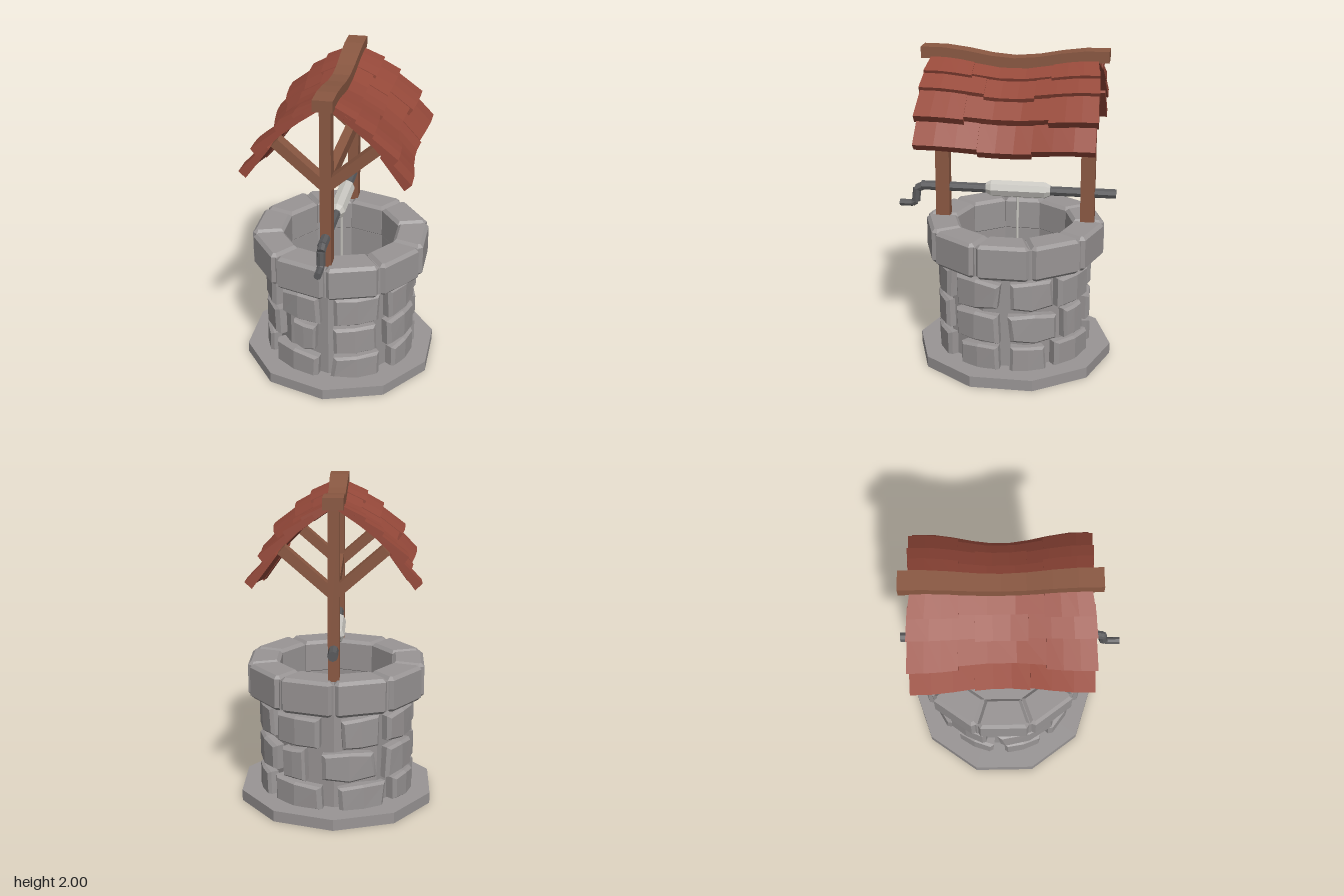
import * as THREE from 'three';

const mat = (name, color) => {
  const m = new THREE.MeshStandardMaterial({ color });
  m.name = name;
  return m;
};

export function createModel() {
  const model = new THREE.Group();
  model.name = 'well';
  model.position.z = -0.055; // the crank reaches further to the front
  const root = new THREE.Group();
  root.add(model);

  const stone = mat('stone grey', 0x999595);
  const wood = mat('brown wood', 0x8a5842);
  const tile = mat('red roof tile', 0x96493a);
  const iron = mat('dark iron', 0x5a5a5c);
  const cord = mat('pale rope', 0xcac8c2);

  let seed = 7;
  const jitter = (s) => {
    seed = (seed * 16807) % 2147483647;
    return (seed / 2147483647 - 0.5) * 2 * s;
  };

  // Faceted mesh
  const add = (name, geo, material, parent = model) => {
    const g = geo.index ? geo.toNonIndexed() : geo;
    g.computeVertexNormals();
    const mesh = new THREE.Mesh(g, material);
    mesh.name = name;
    parent.add(mesh);
    return mesh;
  };
  // Move every vertex of a geometry by a rule
  const warp = (geo, rule) => {
    const p = geo.attributes.position;
    for (let i = 0; i < p.count; i++) p.setXYZ(i, ...rule(p.getX(i), p.getY(i), p.getZ(i)));
    return geo;
  };
  const box = (name, w, h, d, x, y, z) => {
    const m = add(name, new THREE.BoxGeometry(w, h, d), wood);
    m.position.set(x, y, z);
    return m;
  };
  // Straight bar between two points in the x = 0 plane, given as [y, z]
  const rod = (name, a, b, r, sides, material) => {
    const p = new THREE.Vector3(0, ...a), q = new THREE.Vector3(0, ...b);
    const dir = q.clone().sub(p);
    const m = add(name, new THREE.CylinderGeometry(r, r, dir.length(), sides), material);
    m.position.copy(p).add(q).multiplyScalar(0.5);
    m.quaternion.setFromUnitVectors(new THREE.Vector3(0, 1, 0), dir.normalize());
    return m;
  };

  // Base slab
  add('baseSlab', new THREE.CylinderGeometry(0.625, 0.625, 0.07, 10), stone).position.y = 0.035;

  // Hollow shaft, with a backing ring behind the rim blocks
  const profile = [[0.44, 0.06], [0.44, 0.67], [0.47, 0.705], [0.55, 0.705], [0.55, 0.89],
    [0.385, 0.89], [0.375, 0.7], [0.375, 0.075], [0, 0.075]].map((p) => new THREE.Vector2(...p));
  add('shaft', new THREE.LatheGeometry(profile, 10), stone);

  // Rim of ten bevelled blocks
  const rim = new THREE.Group();
  rim.name = 'rim';
  model.add(rim);
  const bevel = 0.02, t = Math.tan(Math.PI / 10);
  const inner = 0.352 + bevel, outer = 0.547 - bevel;
  const wi = inner * t - bevel - 0.003, wo = outer * t - bevel - 0.003, c = 0.014;
  const block = new THREE.Shape([[-wi, inner], [wi, inner], [wo - c * 0.4, outer - c], [wo - c, outer],
    [-wo + c, outer], [-wo + c * 0.4, outer - c]].map((p) => new THREE.Vector2(...p)));
  for (let i = 0; i < 10; i++) {
    const geo = new THREE.ExtrudeGeometry(block, {
      depth: 0.22 - 2 * bevel, bevelEnabled: true, bevelSize: bevel, bevelThickness: bevel, bevelSegments: 1,
    });
    geo.rotateX(Math.PI / 2);
    geo.translate(0, 0.91 - bevel, 0);
    add('rimBlock', geo, stone, rim).rotation.y = (i + 0.5) * Math.PI / 5;
  }

  // Raised wall stones: [bottom, top, angle ranges in degrees from the front]
  const rows = [
    [0.06, 0.215, [[4, 42], [53, 86], [94, 122], [128, 171], [183, 220], [229, 262], [270, 302], [311, 353]]],
    [0.25, 0.43, [[4, 38], [48, 86], [94, 132], [138, 158], [170, 212], [222, 255], [266, 316], [332, 351]]],
    [0.465, 0.645, [[6, 41], [50, 86], [94, 127], [131, 170], [186, 214], [222, 258], [268, 309], [319, 354]]],
  ];
  const stones = new THREE.Group();
  stones.name = 'wallStones';
  model.add(stones);
  for (const [y0, y1, ranges] of rows) {
    for (const [a0, a1] of ranges) {
      const j = [0, 0, 0, 0].map(() => [jitter(0.04), jitter(0.016)]);
      const geo = warp(new THREE.BoxGeometry(1, 1, 1, 2, 1, 2), (u, v, w) => {
        const inset = w > 0.1 ? 0.84 : 1;
        const k = j[(u > 0 ? 1 : 0) + (v > 0 ? 2 : 0)];
        const side = u === 0 ? 0 : k[0];
        const a = THREE.MathUtils.degToRad((a0 + a1) / 2 + (a1 - a0) * (u * inset + side));
        const r = w < -0.1 ? 0.4 : w > 0.1 ? 0.49 : 0.472;
        const lift = u === 0 ? 0.006 * Math.sign(v) : k[1];
        const y = (y0 + y1) / 2 + (y1 - y0) * v * inset + lift;
        return [r * Math.sin(a), Math.max(y, 0.06), r * Math.cos(a)];
      });
      add('wallStone', geo, stone, stones);
    }
  }

  // Posts with braces, and the beam between them
  for (const z of [0.46, -0.46]) {
    box('post', 0.068, 1.05, 0.088, 0, 1.425, z);
    for (const s of [1, -1]) {
      box('brace', 0.4, 0.062, 0.08, s * 0.15, 1.555, z).rotation.z = s * 0.72;
    }
  }
  box('tieBeam', 0.06, 0.075, 0.9, 0, 1.445, 0);

  // Roof sag: deepest in the middle, gone towards both gables
  const sag = (x, y, z) => {
    const f = 0.03 * (1 + Math.cos(Math.PI * Math.min(1, Math.abs(z) / 0.47)));
    const k = x / 0.52;
    return [x - f * k * 0.9, y - f * (1 - 0.5 * Math.abs(k)), z];
  };

  // Ridge beam
  add('ridgeBeam', warp(new THREE.BoxGeometry(0.12, 0.07, 1.145, 1, 1, 8),
    (x, y, z) => sag(x, y + 1.963, z)), wood);

  // Shingle rows: [top x, y, lower edge x, y, half length above, below, split, middle shift]
  const courses = [
    [0.0, 1.968, 0.185, 1.88, 0.5, 0.53, 0.24, -0.02],
    [0.12, 1.895, 0.305, 1.79, 0.525, 0.54, 0.15, 0.02],
    [0.235, 1.81, 0.43, 1.66, 0.53, 0.545, 0.25, -0.025],
    [0.345, 1.68, 0.52, 1.495, 0.53, 0.535, 0.16, 0.015],
  ];
  for (const side of [0, 1]) {
    const slope = new THREE.Group();
    slope.name = side ? 'rightRoofSlope' : 'leftRoofSlope';
    slope.rotation.y = side * Math.PI;
    model.add(slope);
    for (const [x0, y0, x1, y1, h0, h1, split, shift] of courses) {
      const len = Math.hypot(x1 - x0, y1 - y0);
      const dx = (x1 - x0) / len, dy = (y1 - y0) / len;
      for (const part of [-1, 0, 1]) {
        const geo = warp(new THREE.BoxGeometry(1, 1, 1, 1, 1, 3), (u, v, w) => {
          const run = u < 0 ? 0 : len + (part === 0 ? Math.min(shift, 0) : Math.min(-shift, 0));
          const drop = (v < 0 ? (u < 0 ? 0.03 : 0.058) : 0) + (part === 0 ? 0.004 : 0);
          const half = u < 0 ? h0 : h1;
          const z = part === 0 ? w * 2 * split
            : part * (split + half) / 2 + w * (half - split);
          return sag(x0 + dx * run + dy * drop, y0 + dy * run - dx * drop, z);
        });
        add('shingle', geo, tile, slope);
      }
    }
  }

  // Axle and crank handle
  rod('axle', [1.095, -0.635], [1.095, 0.6], 0.031, 8, iron);
  const path = [[1.095, 0.585], [1.072, 0.632], [0.988, 0.641], [0.972, 0.665], [0.972, 0.745]];
  for (let i = 0; i < 4; i++) rod('crank', path[i], path[i + 1], i < 2 ? 0.027 : 0.023, 8, iron);

  // Rope wound on the axle, and its hanging end
  const coil = [[0, -0.21], [0.034, -0.21], [0.053, -0.175], [0.053, 0.165], [0.034, 0.2], [0, 0.2]];
  const spool = add('ropeCoil', new THREE.LatheGeometry(coil.map((p) => new THREE.Vector2(...p)), 8), cord);
  spool.rotation.x = Math.PI / 2;
  spool.position.set(0, 1.097, -0.015);
  rod('hangingRope', [0.08, -0.016], [1.07, -0.016], 0.008, 6, cord);

  return root;
}
